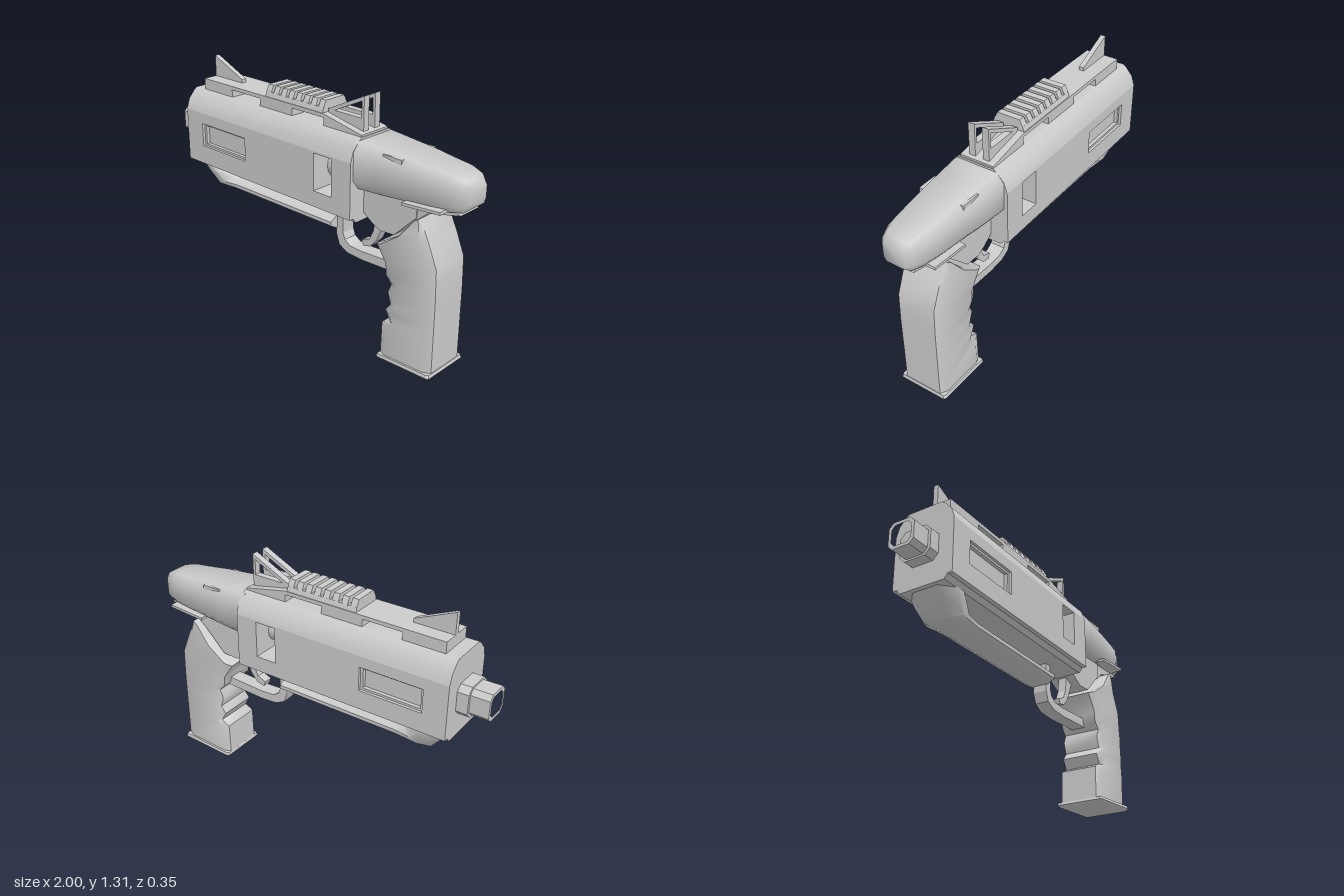
import * as THREE from 'three';
import { toCreasedNormals } from 'three/addons/utils/BufferGeometryUtils.js';

const material = new THREE.MeshStandardMaterial({ color: 0xcccccc });

function add(parent, name, geometry) {
  const mesh = new THREE.Mesh(geometry, material);
  mesh.name = name;
  parent.add(mesh);
  return mesh;
}

// Box given by its limits
function box(x0, x1, y0, y1, z0, z1) {
  return new THREE.BoxGeometry(x1 - x0, y1 - y0, z1 - z0)
    .translate((x0 + x1) / 2, (y0 + y1) / 2, (z0 + z1) / 2);
}

// Side outline (x, y) with holes, extruded from z0 to z1
function plate(points, z0, z1, holes = []) {
  const shape = new THREE.Shape(points.map(p => new THREE.Vector2(...p)));
  for (const h of holes) shape.holes.push(new THREE.Path(h.map(p => new THREE.Vector2(...p))));
  return new THREE.ExtrudeGeometry(shape, { depth: z1 - z0, bevelEnabled: false }).translate(0, 0, z0);
}

// Cross-section outline (z, y) with holes, extruded along x
function beam(points, x0, x1, holes = []) {
  const flip = pts => pts.map(([z, y]) => [-z, y]);
  return plate(flip(points), 0, x1 - x0, holes.map(flip)).rotateY(Math.PI / 2).translate(x0, 0, 0);
}

const rect = (x0, x1, y0, y1) => [[x0, y0], [x1, y0], [x1, y1], [x0, y1]];

// Loft of chamfered sections: each is [ax, ay, bx, by, halfWidth], spanning from a to b
function loft(sections, cut, cutW, zc = 0, crease = 0.95) {
  const pos = [], idx = [];
  const ring = [[0, -cutW], [cut, -1], [1 - cut, -1], [1, -cutW], [1, cutW], [1 - cut, 1], [cut, 1], [0, cutW]];
  for (const [ax, ay, bx, by, w] of sections)
    for (const [t, s] of ring) pos.push(ax + (bx - ax) * t, ay + (by - ay) * t, zc + s * w);
  const n = ring.length, last = (sections.length - 1) * n;
  for (let i = 0; i < last; i += n)
    for (let j = 0; j < n; j++) {
      const k = (j + 1) % n;
      idx.push(i + j, i + k, i + n + j, i + k, i + n + k, i + n + j);
    }
  for (let j = 1; j < n - 1; j++) idx.push(0, j + 1, j, last, last + j, last + j + 1);
  // Turn the faces outward if the enclosed volume is negative
  const v = i => new THREE.Vector3().fromArray(pos, i * 3);
  let volume = 0;
  for (let i = 0; i < idx.length; i += 3) volume += v(idx[i]).dot(v(idx[i + 1]).cross(v(idx[i + 2])));
  if (volume < 0) idx.reverse();
  const g = new THREE.BufferGeometry();
  g.setAttribute('position', new THREE.Float32BufferAttribute(pos, 3));
  g.setIndex(idx);
  return toCreasedNormals(g, crease);
}

function createBody() {
  const body = new THREE.Group();
  body.name = 'body';
  // Inner core, left open around the side window
  add(body, 'coreFront', box(-0.84, 0.15, 0.69, 1.12, -0.1, 0.1));
  add(body, 'coreRear', box(0.27, 0.395, 0.69, 1.12, -0.1, 0.1));
  add(body, 'windowTop', box(0.15, 0.27, 1.0, 1.12, -0.1, 0.1));
  add(body, 'windowBottom', box(0.15, 0.27, 0.69, 0.8, -0.1, 0.1));
  const barrel = new THREE.CylinderGeometry(0.075, 0.075, 0.14, 16).rotateZ(Math.PI / 2);
  add(body, 'innerBarrel', barrel.translate(0.21, 0.905, 0));

  for (const s of [1, -1]) {
    const side = s > 0 ? 'Left' : 'Right';
    const z = (a, b) => (s > 0 ? [a, b] : [-b, -a]);
    const profile = pts => pts.map(([a, y]) => [s * a, y]);
    // Side panel with a shallow recess and a through window
    const recess = rect(-0.71, -0.36, 0.82, 0.95);
    const window = rect(0.15, 0.27, 0.8, 1.0);
    add(body, 'panel' + side, plate(rect(-0.84, 0.395, 0.715, 1.01), ...z(0.1, 0.175), [recess, window]));
    add(body, 'recessFloor' + side, box(-0.71, -0.36, 0.82, 0.95, ...z(0.1, 0.14)));
    add(body, 'recessLip' + side, plate(recess, ...z(0.138, 0.16), [rect(-0.695, -0.375, 0.832, 0.938)]));
    // Rounded shoulder above and stepped edge below the panel
    const shoulder = [[0.09, 1.01], [0.175, 1.01], [0.157, 1.065], [0.12, 1.105], [0.1, 1.12], [0.09, 1.12]];
    add(body, 'shoulder' + side, toCreasedNormals(beam(profile(shoulder), -0.84, 0.395), 0.8));
    add(body, 'lowerEdge' + side,
      beam(profile([[0.09, 0.69], [0.13, 0.69], [0.15, 0.715], [0.09, 0.715]]), -0.84, 0.395));
  }
  return body;
}

function createMuzzle() {
  const muzzle = new THREE.Group();
  muzzle.name = 'muzzle';
  const octagon = (h, w, c) => [[-w + c, -h], [w - c, -h], [w, -h + c], [w, h - c],
    [w - c, h], [-w + c, h], [-w, h - c], [-w, -h + c]].map(([z, y]) => [z, y + 0.89]);
  add(muzzle, 'muzzleCollar', beam(octagon(0.082, 0.09, 0.03), -0.9, -0.83));
  add(muzzle, 'muzzleTip', beam(octagon(0.072, 0.075, 0.025), -1, -0.9, [octagon(0.055, 0.057, 0.02)]));
  return muzzle;
}

function createTop() {
  const top = new THREE.Group();
  top.name = 'topAssembly';
  // Spine bridging two open slots
  add(top, 'spine', plate([[-0.77, 1.11], [-0.54, 1.11], [-0.54, 1.16], [-0.32, 1.16], [-0.32, 1.11], [-0.08, 1.11],
    [-0.08, 1.16], [0.14, 1.16], [0.14, 1.11], [0.39, 1.11], [0.39, 1.13], [0.14, 1.18], [-0.77, 1.18]], -0.095, 0.095));
  // Toothed accessory rail
  const tooth = (y0, y1, w0, w1) => [[-w0, y0], [w0, y0], [w1, y1], [-w1, y1]];
  add(top, 'railBase', beam(tooth(1.175, 1.205, 0.092, 0.083), -0.28, 0.13));
  for (let i = 0; i < 8; i++) {
    const x = -0.28 + i * 0.0535;
    add(top, 'railTooth', beam(tooth(1.2, 1.24, 0.085, 0.065), x, x + 0.0355));
  }
  // Sights
  add(top, 'frontSight', plate([[-0.77, 1.17], [-0.55, 1.17], [-0.55, 1.2], [-0.77, 1.295]], -0.014, 0.014));
  for (const z of [-0.04, 0.04])
    add(top, 'rearSight', plate([[0.14, 1.17], [0.37, 1.13], [0.37, 1.31], [0.14, 1.2]], z - 0.018, z + 0.018,
      [[[0.18, 1.198], [0.355, 1.198], [0.355, 1.282]]]));
  return top;
}

function createRear() {
  const rear = new THREE.Group();
  rear.name = 'rearReceiver';
  add(rear, 'rearShell', loft([
    [0.38, 0.865, 0.38, 1.11, 0.157], [0.52, 0.87, 0.52, 1.1, 0.148], [0.68, 0.88, 0.68, 1.09, 0.134],
    [0.82, 0.885, 0.82, 1.075, 0.122], [0.9, 0.89, 0.9, 1.07, 0.11], [0.97, 0.9, 0.97, 1.055, 0.085],
    [1.0, 0.925, 1.0, 1.03, 0.06]], 0.2, 0.75));
  for (const s of [-1, 1]) {
    const tab = add(rear, 'sideTab', new THREE.BoxGeometry(0.11, 0.05, 0.03));
    tab.position.set(0.605, 1.06, s * 0.112);
    // Thin strip hugging the lower edge of the shell
    const wing = add(rear, 'sideStrip', new THREE.BoxGeometry(0.22, 0.015, 0.06));
    wing.position.set(0.79, 0.89, s * 0.112);
    wing.rotation.z = 0.08;
  }
  add(rear, 'tang', plate([[0.62, 0.8], [0.72, 0.79], [0.78, 0.84], [0.96, 0.885], [0.9, 0.92], [0.62, 0.92]], -0.07, 0.07));
  add(rear, 'lowerFrame', plate([[0.38, 0.74], [0.45, 0.69], [0.5, 0.665], [0.59, 0.67], [0.64, 0.72],
    [0.72, 0.8], [0.72, 0.9], [0.38, 0.9]], -0.075, 0.075));
  return rear;
}

function createGrip() {
  const grip = new THREE.Group();
  grip.name = 'grip';
  // Sections run from the finger side to the back strap
  add(grip, 'handle', loft([
    [0.565, 0.02, 0.885, 0.03, 0.125], [0.57, 0.2, 0.885, 0.08, 0.125], [0.62, 0.225, 0.885, 0.2, 0.125],
    [0.59, 0.28, 0.885, 0.27, 0.125], [0.62, 0.32, 0.885, 0.32, 0.125], [0.6, 0.38, 0.885, 0.38, 0.125],
    [0.62, 0.43, 0.885, 0.44, 0.125], [0.585, 0.47, 0.883, 0.5, 0.125], [0.58, 0.53, 0.88, 0.6, 0.125],
    [0.52, 0.62, 0.83, 0.72, 0.125], [0.65, 0.7, 0.8, 0.78, 0.125], [0.75, 0.815, 0.775, 0.83, 0.12]],
  0.12, 0.85, 0.01));
  add(grip, 'basePlate', loft([[0.575, 0.0, 0.88, 0.012, 0.125], [0.56, 0.01, 0.893, 0.025, 0.14],
    [0.565, 0.025, 0.888, 0.042, 0.135]], 0.03, 0.95, 0.01, 0.5));
  return grip;
}

function createTrigger() {
  const group = new THREE.Group();
  group.name = 'triggerAssembly';
  // Guard as a flat bent strip
  add(group, 'triggerGuard', plate([[0.185, 0.7], [0.185, 0.53], [0.205, 0.475], [0.26, 0.447], [0.36, 0.44],
    [0.6, 0.45], [0.6, 0.5], [0.36, 0.488], [0.28, 0.492], [0.243, 0.515], [0.23, 0.55], [0.23, 0.7]], -0.04, 0.04));
  add(group, 'trigger', plate([[0.43, 0.7], [0.42, 0.62], [0.395, 0.565], [0.345, 0.545], [0.355, 0.515], [0.4, 0.525],
    [0.44, 0.57], [0.47, 0.64], [0.5, 0.7]], -0.025, 0.025));
  return group;
}

export function createModel() {
  const model = new THREE.Group();
  model.name = 'toyBlaster';
  model.add(createBody(), createMuzzle(), createTop(), createRear(), createGrip(), createTrigger());
  // Under-barrel bar, sweeping up and widening to the front of the body
  add(model, 'foregrip', loft([[-0.83, 0.71, -0.63, 0.7, 0.135], [-0.79, 0.66, -0.61, 0.675, 0.13],
    [-0.715, 0.568, -0.56, 0.637, 0.11], [-0.52, 0.568, -0.52, 0.635, 0.095],
    [0.19, 0.568, 0.19, 0.635, 0.09]], 0.35, 0.55));
  return model;
}
